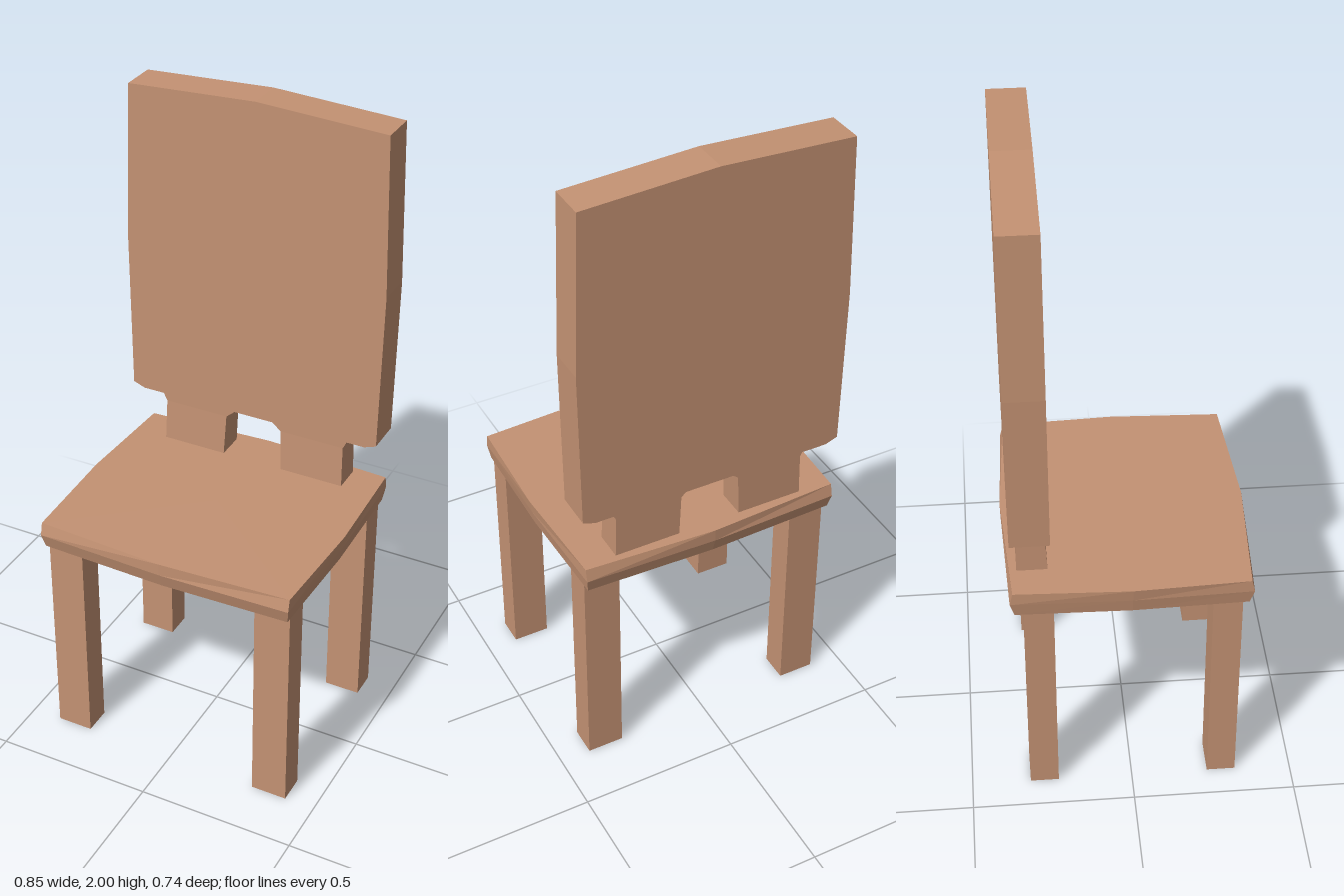
import * as THREE from 'three';

const wood = new THREE.MeshStandardMaterial({ color: 0xc49273 });
wood.name = 'wood';

function add(group, geometry, name) {
  const mesh = new THREE.Mesh(geometry, wood);
  mesh.name = name;
  group.add(mesh);
  return mesh;
}

// Extrude a front outline between two depths
function slab(points, zBack, zFront) {
  const shape = new THREE.Shape(points.map(([x, y]) => new THREE.Vector2(x, y)));
  const g = new THREE.ExtrudeGeometry(shape, { depth: zFront - zBack, bevelEnabled: false });
  return g.translate(0, 0, zBack);
}

// Stack closed rings from bottom to top, with both ends capped; facets stay flat
function loft(rings) {
  const pos = [];
  const tri = (a, b, c) => pos.push(...a, ...b, ...c);
  const n = rings[0].length;
  const top = rings[rings.length - 1], bottom = rings[0];
  for (let i = 0; i < n; i++) {
    const j = (i + 1) % n;
    for (let r = 0; r < rings.length - 1; r++) {
      const lo = rings[r], hi = rings[r + 1];
      tri(lo[i], lo[j], hi[j]);
      tri(lo[i], hi[j], hi[i]);
    }
    tri([0, top[0][1], 0], top[i], top[j]);
    tri([0, bottom[0][1], 0], bottom[j], bottom[i]);
  }
  const g = new THREE.BufferGeometry();
  g.setAttribute('position', new THREE.Float32BufferAttribute(pos, 3));
  g.computeVertexNormals();
  return g;
}

// Eight-point outline with gently bowed sides
function seatRing(y, cornerX, cornerZ, midX, midZ) {
  return [
    [0, y, midZ], [cornerX, y, cornerZ], [midX, y, 0], [cornerX, y, -cornerZ],
    [0, y, -midZ], [-cornerX, y, -cornerZ], [-midX, y, 0], [-cornerX, y, cornerZ],
  ];
}

export function createModel() {
  const chair = new THREE.Group();
  chair.name = 'chair';

  // Seat with a slightly undercut edge
  add(chair, loft([
    seatRing(0.705, 0.405, 0.345, 0.414, 0.358),
    seatRing(0.75, 0.412, 0.358, 0.422, 0.371),
    seatRing(0.79, 0.412, 0.349, 0.427, 0.372),
  ]), 'seat');

  // Backrest panel with bowed sides and top
  const half = [[0.38, 0.958], [0.418, 0.972], [0.425, 1.48], [0.41, 1.98]];
  const mirrored = half.map(([x, y]) => [-x, y]).reverse();
  add(chair, slab([...half, [0, 2], ...mirrored], -0.353, -0.236), 'backrest');

  for (const side of [1, -1]) {
    const label = side > 0 ? 'left' : 'right';

    // Flared post joining seat and backrest
    const outline = [[0.1, 0.785], [0.308, 0.785], [0.305, 0.925], [0.325, 0.965],
      [0.05, 0.965], [0.062, 0.953], [0.094, 0.925]];
    const post = slab(outline.map(([x, y]) => [x * side, y]), -0.333, -0.248);
    // Spread the foot of the post a little towards the front
    const p = post.attributes.position;
    for (let i = 0; i < p.count; i++) {
      if (p.getY(i) < 0.8 && p.getZ(i) > -0.3) p.setZ(i, -0.241);
    }
    post.computeVertexNormals();
    add(chair, post, label + 'BackPost');

    // Straight square legs
    for (const [z, end] of [[0.282, 'Front'], [-0.274, 'Back']]) {
      const leg = add(chair, new THREE.BoxGeometry(0.114, 0.708, 0.088), label + end + 'Leg');
      leg.position.set(side * 0.347, 0.354, z);
    }
  }
  return chair;
}
